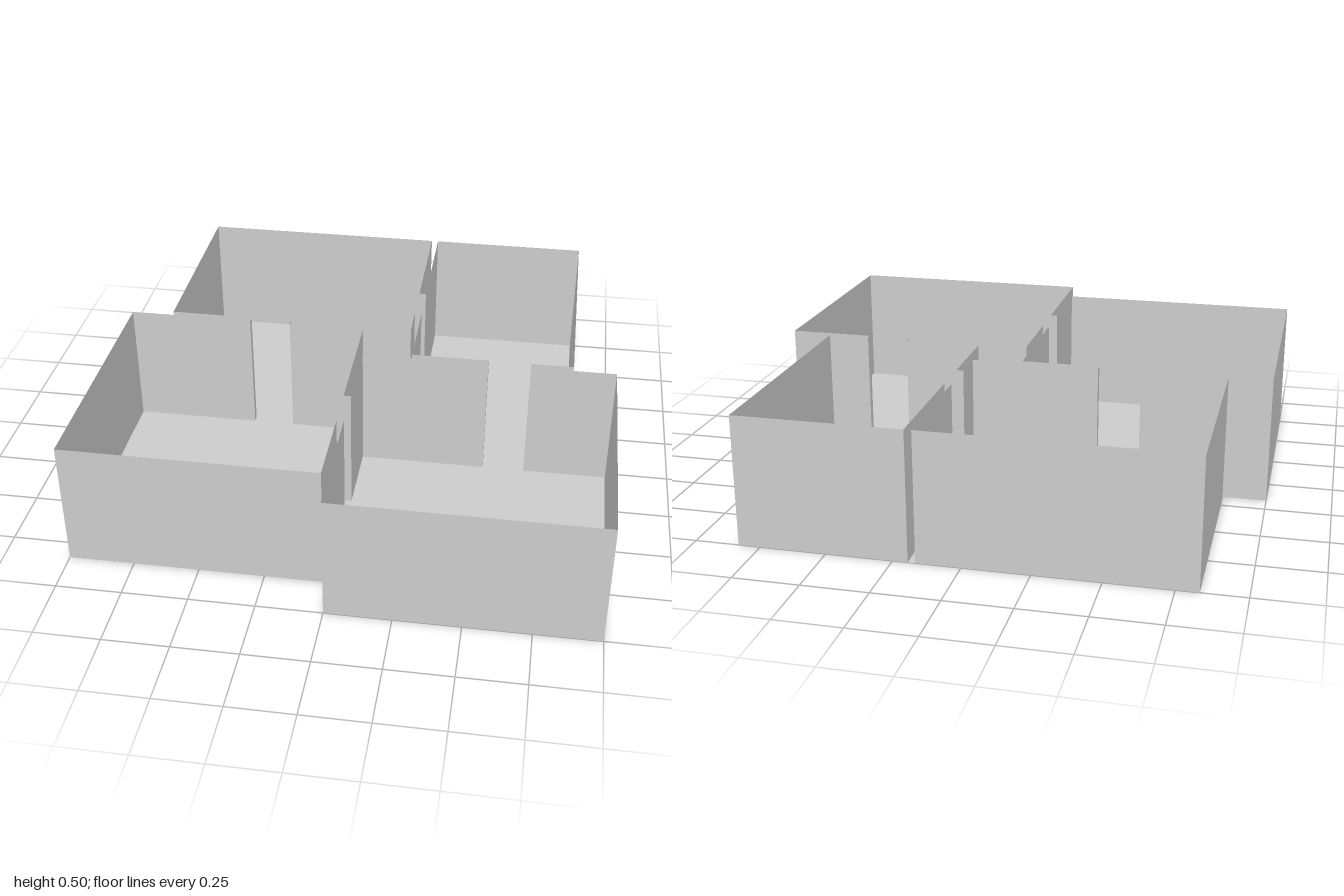
import * as THREE from 'three';

const U = 1 / 6;      // plan grid unit
const T = 1 / 36;     // cavity between two neighbouring rooms
const H = 0.5;        // wall height

const material = new THREE.MeshStandardMaterial({ color: 0xcccccc, side: THREE.DoubleSide, flatShading: true });

// Upright thin panel between two plan points [x, z]
function panel(name, [x0, z0], [x1, z1]) {
  const dx = x1 - x0, dz = z1 - z0;
  const mesh = new THREE.Mesh(new THREE.PlaneGeometry(Math.hypot(dx, dz), H), material);
  mesh.position.set((x0 + x1) / 2, H / 2, (z0 + z1) / 2);
  mesh.rotation.y = Math.atan2(-dz, dx);
  mesh.name = name;
  return mesh;
}

// One room: four walls; doors give the [from, to] opening on a named side
function room(name, x0, x1, z0, z1, doors) {
  const group = new THREE.Group();
  group.name = name;
  const sides = {
    back: [x0, x1, (t) => [t, z0]],
    front: [x0, x1, (t) => [t, z1]],
    right: [z0, z1, (t) => [x0, t]],
    left: [z0, z1, (t) => [x1, t]],
  };
  for (const [side, [from, to, at]] of Object.entries(sides)) {
    const stops = [from, ...(doors[side] || []), to];
    for (let i = 0; i < stops.length; i += 2) {
      group.add(panel(side + 'Wall', at(stops[i]), at(stops[i + 1])));
    }
  }
  return group;
}

export function createModel() {
  const model = new THREE.Group();
  model.name = 'floorPlan';

  // Floor with stepped outline and a square shaft opening
  const toShape = (pts) => pts.map(([x, z]) => new THREE.Vector2(x * U, -z * U));
  const outline = new THREE.Shape(toShape([
    [-5, -6], [-5, -1], [-6, -1], [-6, 5], [0, 5], [0, 6], [6, 6], [6, 0], [5, 0], [5, -6],
  ]));
  outline.holes.push(new THREE.Path(toShape([[0, -1], [1, -1], [1, 0], [0, 0]])));
  const floor = new THREE.Mesh(new THREE.ShapeGeometry(outline).rotateX(-Math.PI / 2), material);
  floor.name = 'floor';
  model.add(floor);

  // Door openings shared by neighbouring rooms
  const doorBack = [-3 * U, -2 * U];
  const doorRight = [-3 * U, -2 * U];
  const doorFront = [2 * U, 3 * U];
  const doorLeft = [3 * U, 4 * U];

  // Four rooms arranged in a pinwheel round the shaft
  model.add(
    room('backRightRoom', -5 * U, U, -1, -U - T, { left: doorBack, front: doorRight }),
    room('backLeftRoom', U + T, 5 * U, -1, 0, { right: doorBack, front: doorLeft }),
    room('frontLeftRoom', 0, 1, T, 1, { right: doorFront, back: doorLeft }),
    room('frontRightRoom', -1, -T, -U, 5 * U, { left: doorFront, back: doorRight }),
  );

  // Door jambs closing the cavity at each opening
  for (const z of doorBack) model.add(panel('doorJamb', [U, z], [U + T, z]));
  for (const z of doorFront) model.add(panel('doorJamb', [-T, z], [0, z]));
  for (const x of doorRight) model.add(panel('doorJamb', [x, -U - T], [x, -U]));
  for (const x of doorLeft) model.add(panel('doorJamb', [x, 0], [x, T]));

  return model;
}
